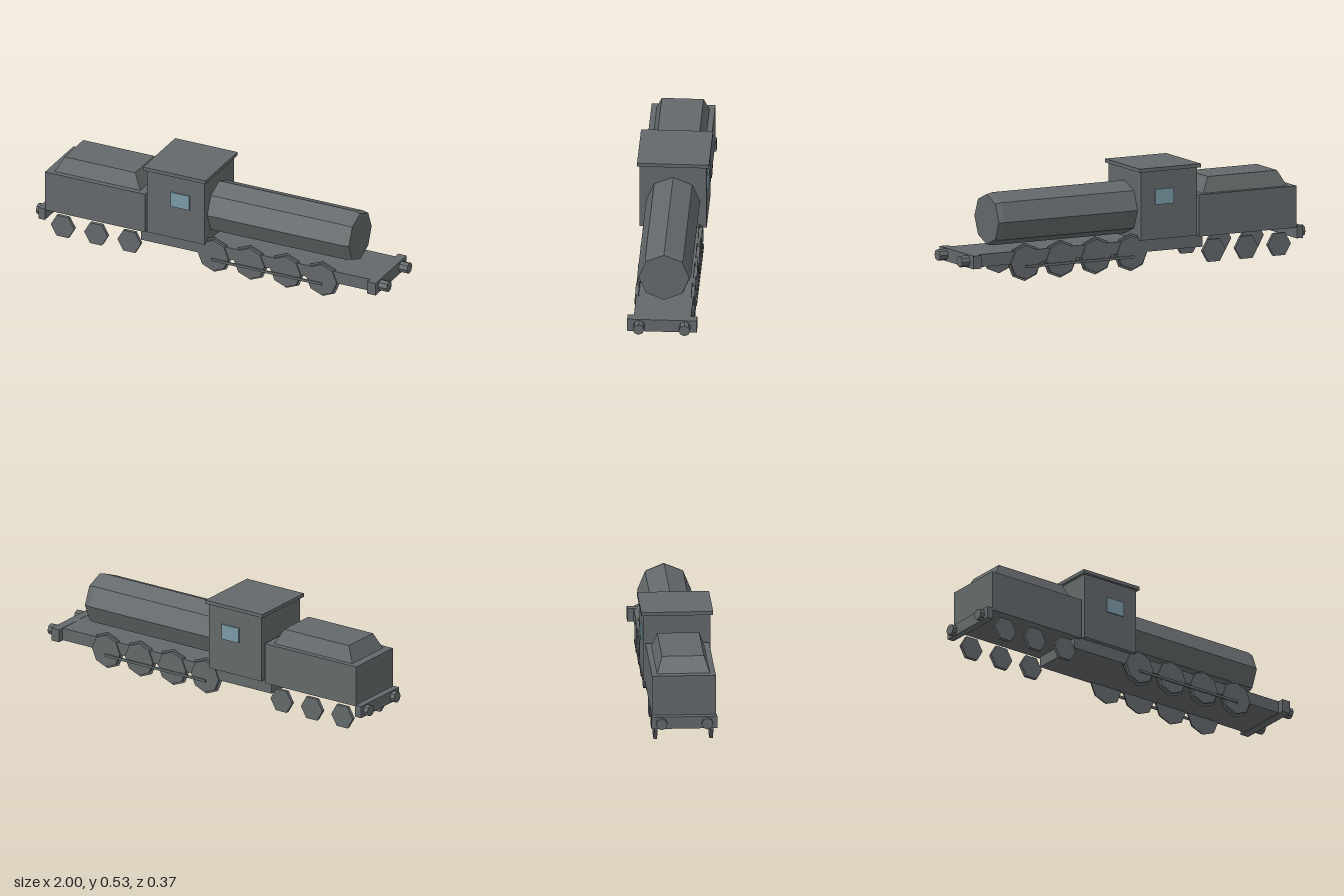
import * as THREE from 'three';

export function createModel() {
  const model = new THREE.Group();
  model.name = 'steamLocomotive';
  const grey = new THREE.MeshStandardMaterial({ color: 0x63686a, flatShading: true });
  grey.name = 'dark grey';
  const glass = new THREE.MeshStandardMaterial({ color: 0x7b9aa6, flatShading: true });
  glass.name = 'window blue';

  function add(name, geometry, material = grey) {
    const mesh = new THREE.Mesh(geometry, material);
    mesh.name = name;
    model.add(mesh);
    return mesh;
  }
  // Box given by its limits on each axis
  function box(name, [x0, x1], [y0, y1], [z0, z1], material) {
    const g = new THREE.BoxGeometry(x1 - x0, y1 - y0, z1 - z0);
    g.translate((x0 + x1) / 2, (y0 + y1) / 2, (z0 + z1) / 2);
    return add(name, g, material);
  }
  // Prism lying along x
  function barrel(name, x0, x1, r0, r1, y, z) {
    const g = new THREE.CylinderGeometry(r1, r0, x1 - x0, 8);
    g.rotateZ(-Math.PI / 2).translate((x0 + x1) / 2, y, z);
    return add(name, g);
  }
  // Flat polygonal disc facing z
  function disc(name, x, y, z0, z1, r, sides, start = 0) {
    const g = new THREE.CylinderGeometry(r, r, z1 - z0, sides, 1, false, start);
    g.rotateX(Math.PI / 2).translate(x, y, (z0 + z1) / 2);
    return add(name, g);
  }

  // Engine frame and buffer beams
  box('engineFrame', [-0.4, 0.91], [0.095, 0.16], [-0.146, 0.146]);
  box('frontBeam', [0.905, 0.953], [0.093, 0.161], [-0.178, 0.178]);
  box('rearBeam', [-0.975, -0.938], [0.097, 0.16], [-0.168, 0.168]);

  // Boiler with a slightly tapered front rim
  barrel('boiler', -0.04, 0.745, 0.1375, 0.1375, 0.3115, 0);
  barrel('boilerFront', 0.745, 0.777, 0.1375, 0.13, 0.3115, 0);

  // Cab
  box('cab', [-0.355, -0.027], [0.16, 0.514], [-0.171, 0.171]);
  box('cabRoof', [-0.37, -0.014], [0.514, 0.533], [-0.184, 0.184]);

  // Tender with a load that narrows upward
  box('tender', [-0.94, -0.37], [0.152, 0.368], [-0.163, 0.163]);
  const load = new THREE.BoxGeometry(0.488, 0.08, 0.27);
  const p = load.attributes.position;
  for (let i = 0; i < p.count; i++) {
    if (p.getY(i) > 0) {
      p.setX(i, Math.sign(p.getX(i)) * 0.202);
      p.setZ(i, Math.sign(p.getZ(i)) * 0.107);
    }
  }
  load.translate(-0.654, 0.408, 0);
  add('tenderLoad', load);

  for (const side of [1, -1]) {
    const span = (a, b) => (side > 0 ? [a, b] : [-b, -a]);
    box('cabWindow', [-0.217, -0.11], [0.34, 0.42], span(0.17, 0.178), glass);

    // Driving wheels: tread and thin inner flange, joined by a rod
    for (let i = 0; i < 4; i++) {
      const x = 0.013 + i * 0.206;
      disc('drivingWheel', x, 0.0985, ...span(0.134, 0.152), 0.087, 8);
      disc('wheelFlange', x, 0.0985, ...span(0.133, 0.1365), 0.0985, 8);
    }
    box('couplingRod', [0.005, 0.635], [0.07, 0.084], span(0.154, 0.16));

    // Tender wheels
    for (const x of [-0.845, -0.655, -0.465]) {
      disc('tenderWheel', x, 0.072, ...span(0.134, 0.152), 0.067, 6, Math.PI / 2);
    }

    // Buffers
    barrel('frontBuffer', 0.95, 1, 0.0295, 0.0295, 0.127, side * 0.117);
    barrel('rearBuffer', -1, -0.97, 0.0295, 0.0295, 0.127, side * 0.117);
  }
  return model;
}
